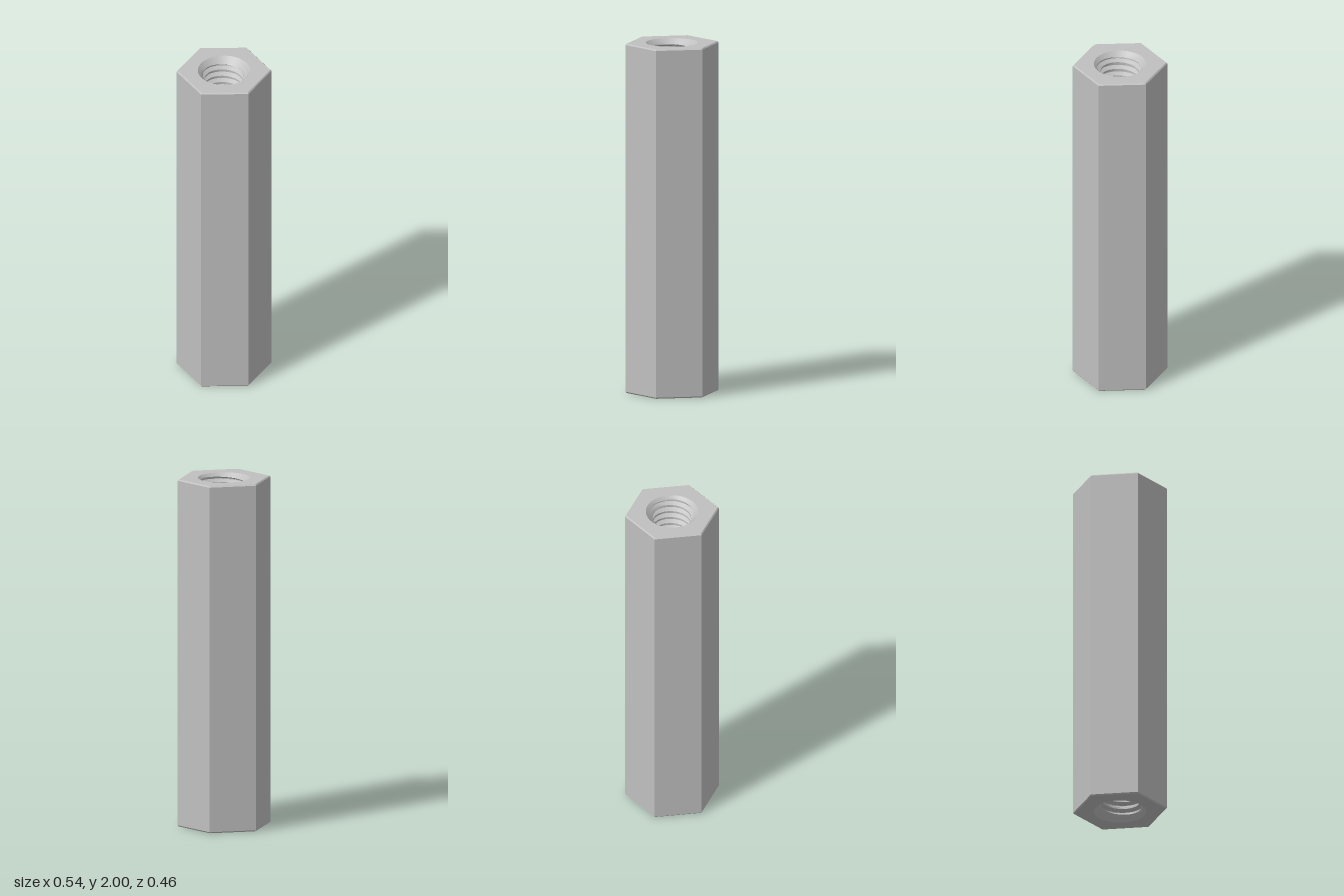
import * as THREE from 'three';
import { toCreasedNormals } from 'three/addons/utils/BufferGeometryUtils.js';

const HEIGHT = 2, HEX_R = 0.268, BEVEL = 0.007;
const MOUTH_R = 0.148, MAJOR_R = 0.131, MINOR_R = 0.109, PITCH = 0.043;
const SEGMENTS = 48;

// Radius of the bore at a phase (0..1) of one thread turn
function threadRadius(phase) {
  const flank = (t) => MAJOR_R + (MINOR_R - MAJOR_R) * THREE.MathUtils.clamp(t, 0, 1);
  return phase < 0.5625 ? flank((phase - 0.125) / 0.3125) : flank((1 - phase) / 0.3125);
}

// Right-hand internal thread, opened by a 45 degree countersink at both ends
function boreGeometry() {
  const phases = [0, 2, 4.5, 7, 11, 13.5].map((p) => p / 16);
  const turns = Math.ceil(HEIGHT / PITCH) + 1;
  const positions = [], index = [];
  let rows = 0;
  for (let turn = -1; turn < turns; turn++) {
    for (const phase of phases) {
      for (let j = 0; j <= SEGMENTS; j++) {
        const f = j / SEGMENTS, a = f * Math.PI * 2;
        const y = THREE.MathUtils.clamp((turn + phase + f) * PITCH, 0, HEIGHT);
        const countersink = MOUTH_R - Math.min(y, HEIGHT - y);
        const r = Math.max(threadRadius(phase), countersink);
        positions.push(r * Math.cos(a), y, -r * Math.sin(a));
      }
      rows++;
    }
  }
  const yAt = (i) => positions[i * 3 + 1];
  const addTriangle = (a, b, c) => {
    // skip triangles flattened onto an end plane
    if (yAt(a) === yAt(b) && yAt(b) === yAt(c)) return;
    index.push(a, b, c);
  };
  for (let i = 0; i < rows - 1; i++) {
    for (let j = 0; j < SEGMENTS; j++) {
      const a = i * (SEGMENTS + 1) + j, c = a + SEGMENTS + 1;
      addTriangle(a, c, a + 1);
      addTriangle(a + 1, c, c + 1);
    }
  }
  const geometry = new THREE.BufferGeometry();
  geometry.setAttribute('position', new THREE.Float32BufferAttribute(positions, 3));
  geometry.setIndex(index);
  return toCreasedNormals(geometry, 0.5);
}

// Hexagonal end face with the round mouth of the bore
function endGeometry() {
  const shape = new THREE.Shape();
  for (let i = 0; i < 6; i++) {
    const a = (i * Math.PI) / 3, r = HEX_R - BEVEL;
    shape[i ? 'lineTo' : 'moveTo'](r * Math.cos(a), r * Math.sin(a));
  }
  shape.closePath();
  shape.holes.push(new THREE.Path().absarc(0, 0, MOUTH_R, 0, Math.PI * 2, true));
  return new THREE.ShapeGeometry(shape, SEGMENTS / 2);
}

export function createModel() {
  const steel = new THREE.MeshStandardMaterial({ color: 0xc0c0c0 });
  steel.name = 'steel grey';
  const group = new THREE.Group();
  group.name = 'threadedHexSpacer';
  const add = (name, geometry) => {
    const mesh = new THREE.Mesh(geometry, steel);
    mesh.name = name;
    group.add(mesh);
    return mesh;
  };

  // Six flat sides with a small bevel at each end
  const profile = [
    [HEX_R - BEVEL, 0], [HEX_R, BEVEL], [HEX_R, HEIGHT - BEVEL], [HEX_R - BEVEL, HEIGHT],
  ].map(([x, y]) => new THREE.Vector2(x, y));
  const sides = new THREE.LatheGeometry(profile, 6, Math.PI / 2).toNonIndexed();
  sides.computeVertexNormals();
  add('hexSides', sides);

  // End faces
  const top = add('topFace', endGeometry());
  top.rotation.x = -Math.PI / 2;
  top.position.y = HEIGHT;
  add('bottomFace', endGeometry()).rotation.x = Math.PI / 2;

  // Threaded through hole
  add('threadedBore', boreGeometry());
  return group;
}
